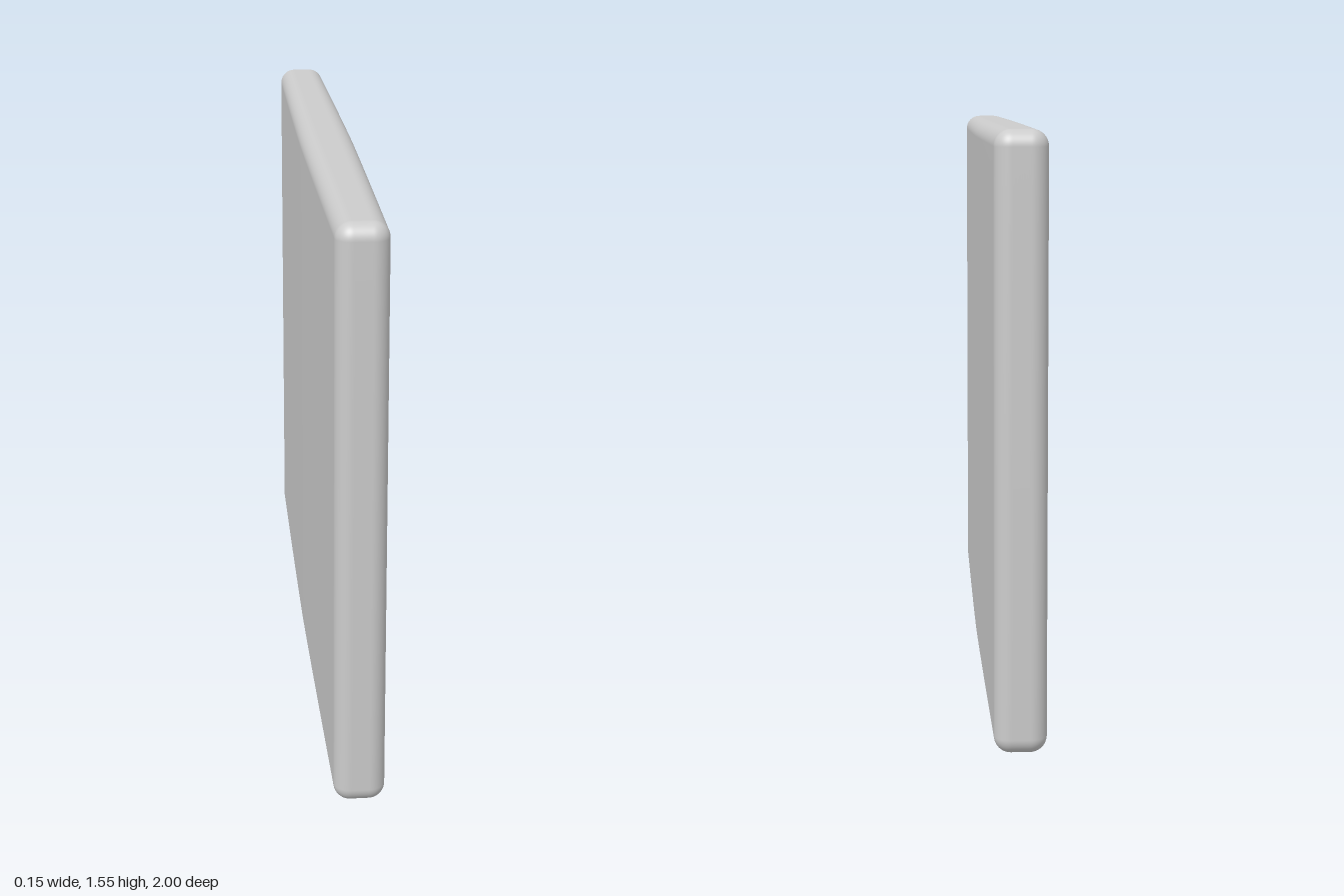
import * as THREE from 'three';
import { mergeVertices } from 'three/addons/utils/BufferGeometryUtils.js';

const HALF = [0.066, 0.773, 1]; // half sizes in x, y, z
const RADIUS = 0.042;           // edge rounding
const BULGE = 0.008;            // extra thickness at the middle of each broad side
const SEGMENTS = 32;
const FLAT = 0.5;               // share of the grid that covers the flat areas

// Box with rounded edges whose two broad sides swell gently towards the middle
function pillowSlab() {
  let geo = new THREE.BoxGeometry(2, 2, 2, SEGMENTS, SEGMENTS, SEGMENTS);
  geo.deleteAttribute('uv');
  geo.deleteAttribute('normal');
  geo = mergeVertices(geo, 1e-5);
  const pos = geo.attributes.position;
  const core = new THREE.Vector3(), out = new THREE.Vector3();
  for (let i = 0; i < pos.count; i++) {
    for (let a = 0; a < 3; a++) {
      const u = pos.getComponent(i, a);
      const inner = THREE.MathUtils.clamp(u, -FLAT, FLAT);
      core.setComponent(a, inner / FLAT * (HALF[a] - RADIUS));
      // even angular steps around the rounded edges
      out.setComponent(a, Math.tan((u - inner) / (1 - FLAT) * Math.PI / 4));
    }
    core.addScaledVector(out.normalize(), RADIUS);
    const swell = 1 - Math.pow(Math.abs(core.z / HALF[2]), 1.3);
    core.x *= 1 + BULGE / HALF[0] * swell;
    pos.setXYZ(i, core.x, core.y, core.z);
  }
  geo.computeVertexNormals();
  return geo;
}

export function createModel() {
  const group = new THREE.Group();
  group.name = 'slab';
  const body = new THREE.Mesh(
    pillowSlab(),
    new THREE.MeshStandardMaterial({ color: 0xcccccc })
  );
  body.name = 'slabBody';
  body.position.y = HALF[1];
  group.add(body);
  return group;
}
